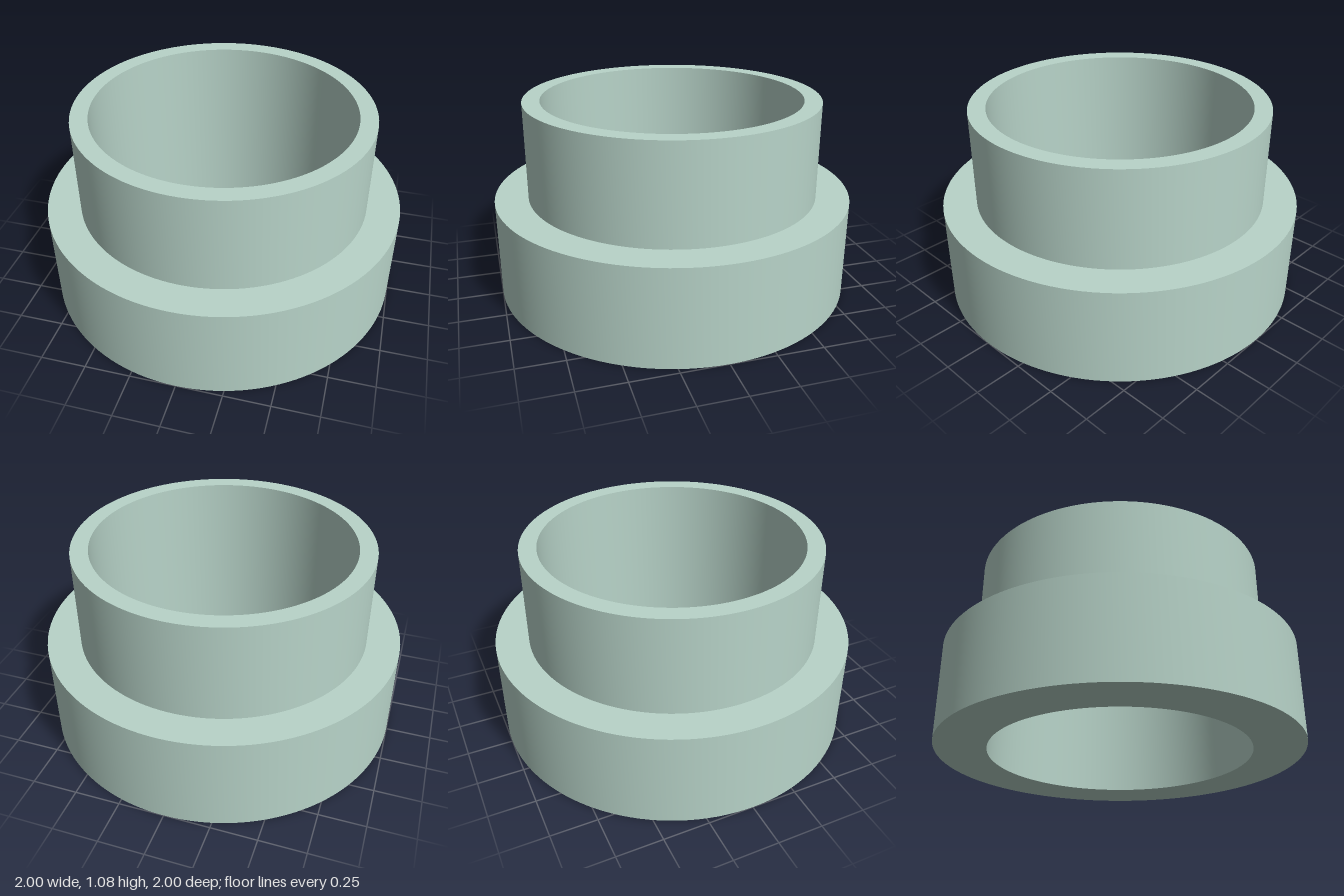
import * as THREE from 'three';
import { toCreasedNormals } from 'three/addons/utils/BufferGeometryUtils.js';

export function createModel() {
  const group = new THREE.Group();
  group.name = 'flangedBushing';

  const boreRadius = 0.72, sleeveRadius = 0.816, flangeRadius = 1;
  const flangeHeight = 0.54, totalHeight = 1.08;

  // Closed cross-section: flange, step, sleeve and through bore
  const profile = [
    [boreRadius, 0],
    [flangeRadius, 0],
    [flangeRadius, flangeHeight],
    [sleeveRadius, flangeHeight],
    [sleeveRadius, totalHeight],
    [boreRadius, totalHeight],
    [boreRadius, 0],
  ].map(([r, y]) => new THREE.Vector2(r, y));

  // Smooth round walls with sharp rims
  const geometry = toCreasedNormals(new THREE.LatheGeometry(profile, 128), Math.PI / 6);
  const bushing = new THREE.Mesh(geometry, new THREE.MeshStandardMaterial({ color: 0xb8d4c9 }));
  bushing.name = 'steppedRing';
  group.add(bushing);

  return group;
}
